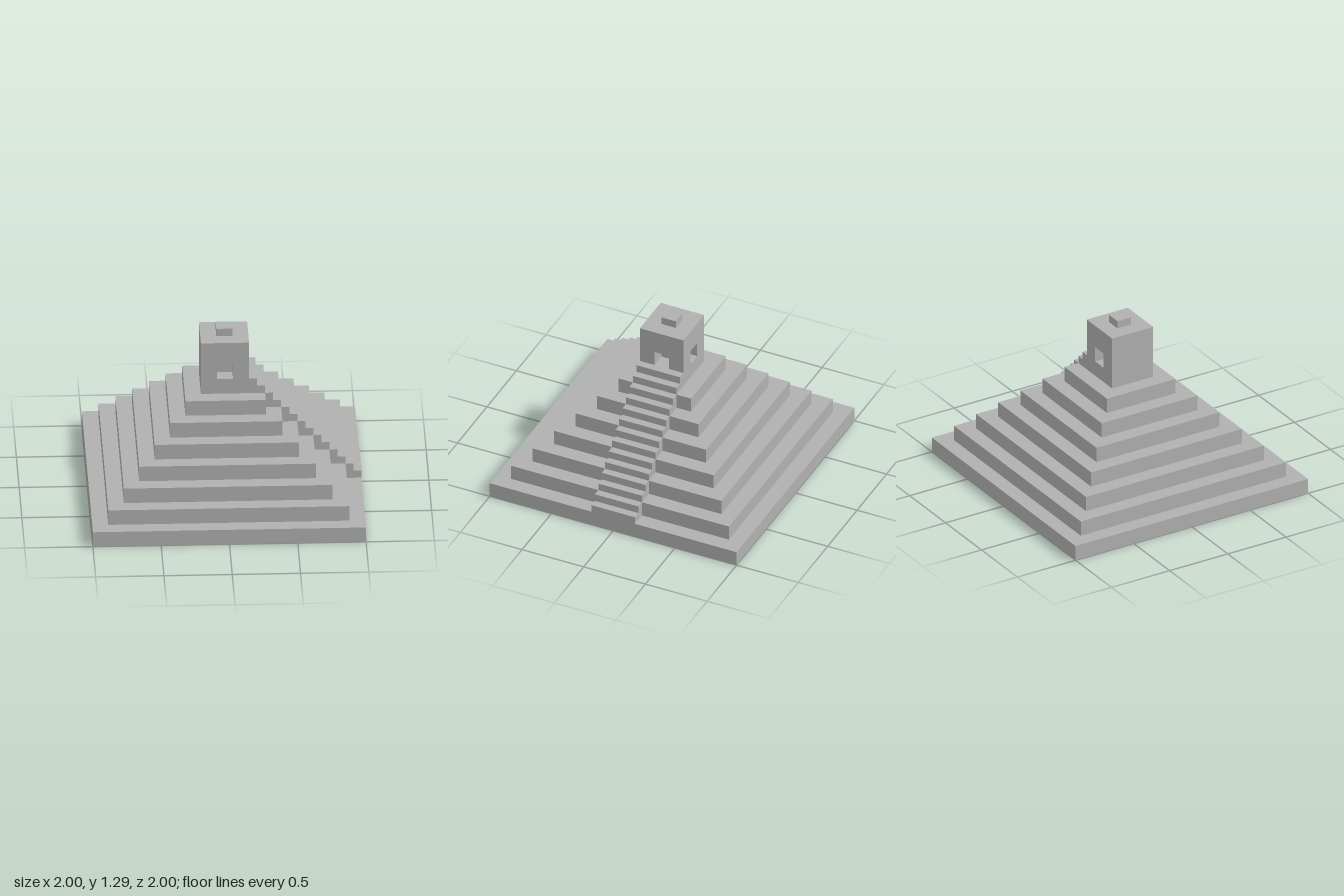
import * as THREE from 'three';

const U = 2 / 17;      // tier height and tread depth
const TIERS = 7;
const TOWER = 1.5 * U; // half width of the tower and stairway

const stone = new THREE.MeshStandardMaterial({ color: 0xb0b0b0, side: THREE.DoubleSide, flatShading: true });
stone.name = 'stone';

function add(parent, name, geometry) {
  const mesh = new THREE.Mesh(geometry, stone);
  mesh.name = name;
  parent.add(mesh);
  return mesh;
}

function rect(PathType, x0, y0, x1, y1) {
  const p = new PathType();
  p.moveTo(x0, y0);
  p.lineTo(x1, y0);
  p.lineTo(x1, y1);
  p.lineTo(x0, y1);
  p.closePath();
  return p;
}

// Four upright walls without top or bottom
function walls(half, y0, y1) {
  const r = half * Math.SQRT2;
  return new THREE.CylinderGeometry(r, r, y1 - y0, 4, 1, true)
    .rotateY(Math.PI / 4).translate(0, (y0 + y1) / 2, 0);
}

// Flat square ring facing up
function tread(outer, inner, y) {
  const shape = rect(THREE.Shape, -outer, -outer, outer, outer);
  shape.holes.push(rect(THREE.Path, -inner, -inner, inner, inner));
  return new THREE.ShapeGeometry(shape).rotateX(-Math.PI / 2).translate(0, y, 0);
}

export function createModel() {
  const model = new THREE.Group();
  model.name = 'steppedPyramid';

  // Hollow stepped tiers, open underneath
  for (let i = 0; i < TIERS; i++) {
    const half = (8.5 - i) * U;
    const tier = new THREE.Group();
    tier.name = 'tier' + (i + 1);
    add(tier, 'tierWalls', walls(half, i * U, (i + 1) * U));
    add(tier, 'tierTread', tread(half, half - U, (i + 1) * U));
    model.add(tier);
  }

  // Stairway on the +x side: steps above, tier outline below
  const steps = 14, s = U / 2;
  const profile = new THREE.Shape();
  profile.moveTo(TOWER, TIERS * U);
  for (let k = 0; k < steps; k++) {
    const y = 8 * U - k * s;
    profile.lineTo(TOWER + k * s, y);
    profile.lineTo(TOWER + (k + 1) * s, y);
  }
  for (let i = 0; i < TIERS; i++) {
    const x = (8.5 - i) * U;
    profile.lineTo(x, (i + 1) * U);
    if (i < TIERS - 1) profile.lineTo(x - U, (i + 1) * U);
  }
  profile.closePath();
  add(model, 'stairway', new THREE.ExtrudeGeometry(profile, { depth: 2 * TOWER, bevelEnabled: false })
    .translate(0, 0, -TOWER));

  // Tower: niches on the front, right and back, plain wall on the left of the plan
  const tower = new THREE.Group();
  tower.name = 'tower';
  const y0 = TIERS * U, y1 = 10.5 * U, niche0 = 8 * U, niche1 = 9 * U, w = U / 2;
  for (let q = 0; q < 4; q++) {
    const side = new THREE.Group();
    side.name = 'towerSide' + (q + 1);
    side.rotation.y = q * Math.PI / 2;
    const shape = rect(THREE.Shape, -TOWER, y0, TOWER, y1);
    if (q !== 3) {
      shape.holes.push(rect(THREE.Path, -w, niche0, w, niche1));
      // Recess box with its outward face removed
      const box = new THREE.BoxGeometry(U, U, U);
      const index = Array.from(box.index.array);
      index.splice(24, 6);
      box.setIndex(index);
      box.clearGroups();
      box.translate(0, (niche0 + niche1) / 2, TOWER - U / 2);
      add(side, 'niche', box);
    }
    add(side, 'towerWall', new THREE.ShapeGeometry(shape).translate(0, 0, TOWER));
    tower.add(side);
  }
  add(tower, 'towerRoof', tread(TOWER, w, y1));
  model.add(tower);

  // Small block on the roof
  add(model, 'roofBlock', new THREE.BoxGeometry(U, U / 2, U).translate(0, y1 + U / 4, 0));

  return model;
}
